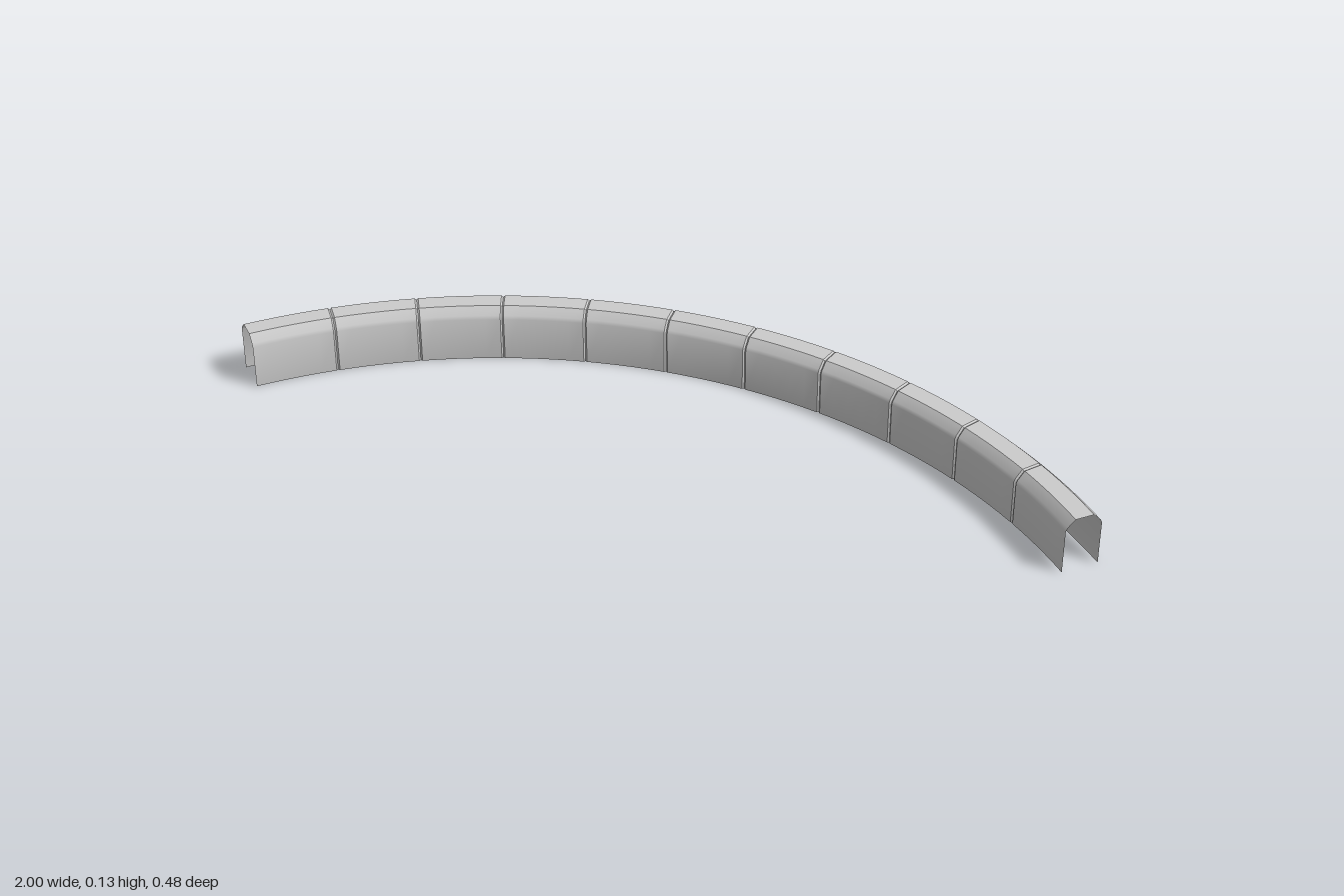
import * as THREE from 'three';
import { toCreasedNormals } from 'three/addons/utils/BufferGeometryUtils.js';

const SEGMENTS = 11;
const HALF_ANGLE = THREE.MathUtils.degToRad(45.7);
const R_OUTER = 1.397, R_INNER = 1.312, CENTRE_Z = 1.156;
const R_MID = (R_OUTER + R_INNER) / 2, HALF_WIDTH = (R_OUTER - R_INNER) / 2;
const HEIGHT = 0.13, GROOVE = 0.003;

// Half of the channel section as [distance from middle, height]; mirrored for the outer side
const half = [[HALF_WIDTH, 0], [HALF_WIDTH, 0.105], [HALF_WIDTH - 0.004, 0.113], [HALF_WIDTH - 0.021, HEIGHT]];
const section = [
  ...half.map(([u, y]) => [-u, y]),
  ...half.slice().reverse(),
];

// Sweep the open section along one piece of the arc; grooved ends are drawn in slightly
function segmentGeometry(start, end, grooveStart, grooveEnd) {
  const stations = [0, 0.02, 0.2, 0.4, 0.6, 0.8, 0.98, 1];
  const positions = [], indices = [], n = section.length;
  stations.forEach((t, i) => {
    const a = THREE.MathUtils.lerp(start, end, t);
    const inset = (t === 0 && grooveStart) || (t === 1 && grooveEnd) ? GROOVE : 0;
    for (const [u, y] of section) {
      const r = R_MID + u * (1 - inset / HALF_WIDTH);
      positions.push(r * Math.sin(a), y * (1 - inset / HEIGHT), CENTRE_Z - r * Math.cos(a));
    }
    if (i === 0) return;
    for (let j = 0; j < n - 1; j++) {
      const p = (i - 1) * n + j, q = i * n + j;
      indices.push(p, q, q + 1, p, q + 1, p + 1);
    }
  });
  const geometry = new THREE.BufferGeometry();
  geometry.setAttribute('position', new THREE.Float32BufferAttribute(positions, 3));
  geometry.setIndex(indices);
  return toCreasedNormals(geometry, 0.5);
}

export function createModel() {
  const model = new THREE.Group();
  model.name = 'curvedChannel';
  const material = new THREE.MeshStandardMaterial({ color: 0xcccccc, side: THREE.DoubleSide });

  // Equal hollow segments, open underneath and at both ends of the arc
  const step = (2 * HALF_ANGLE) / SEGMENTS;
  for (let i = 0; i < SEGMENTS; i++) {
    const start = -HALF_ANGLE + i * step;
    const mesh = new THREE.Mesh(
      segmentGeometry(start, start + step, i > 0, i < SEGMENTS - 1),
      material,
    );
    mesh.name = `channelSegment${i + 1}`;
    model.add(mesh);
  }
  return model;
}
